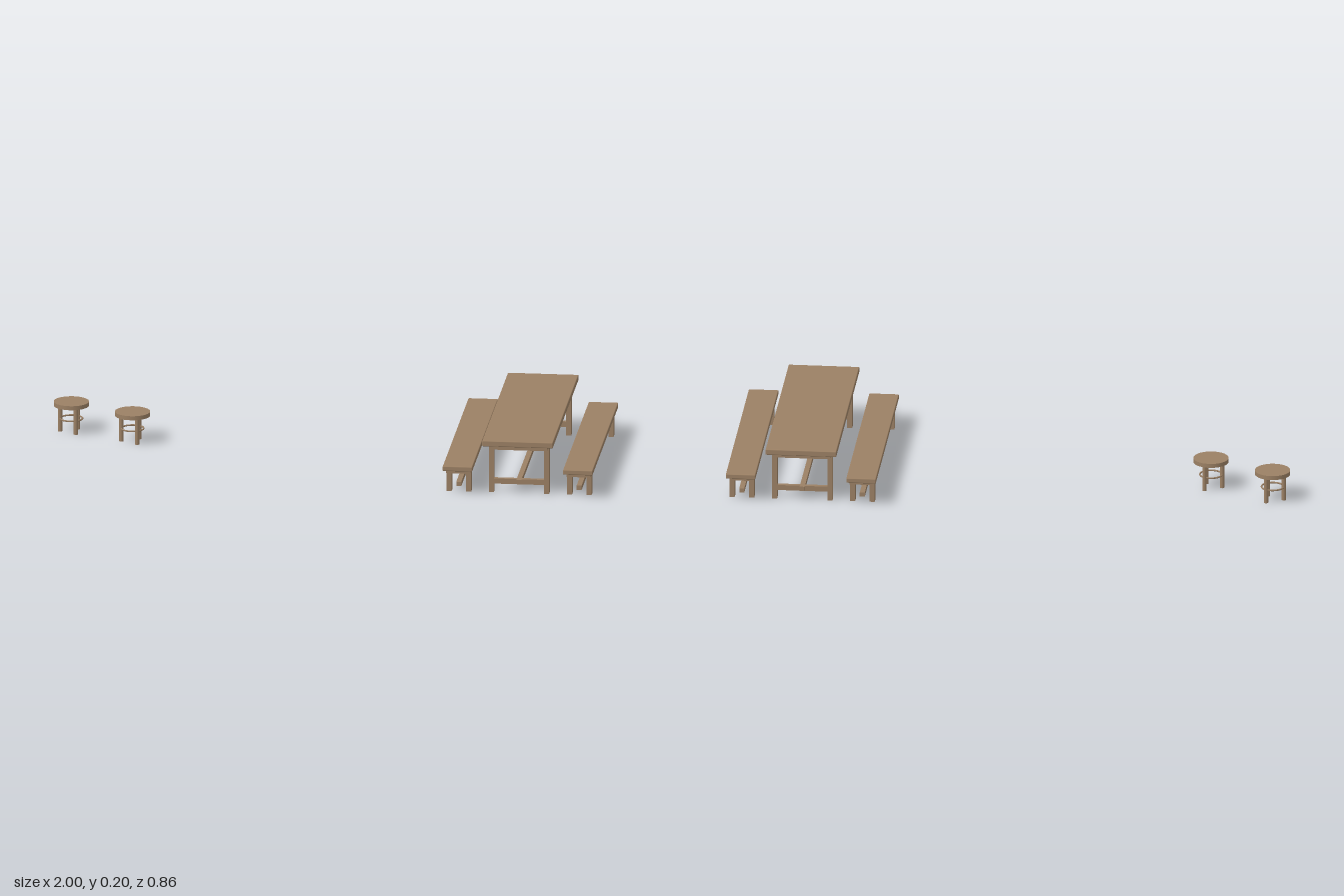
import * as THREE from 'three';
import { RoundedBoxGeometry } from 'three/addons/geometries/RoundedBoxGeometry.js';

const wood = new THREE.MeshStandardMaterial({ color: 0x9b8064 });
wood.name = 'wood';

function add(parent, name, geometry, x, y, z) {
  const mesh = new THREE.Mesh(geometry, wood);
  mesh.name = name;
  mesh.position.set(x, y, z);
  parent.add(mesh);
  return mesh;
}

// Box given by its width, bottom, top and depth
function beam(parent, name, w, y0, y1, d, x = 0, z = 0) {
  return add(parent, name, new THREE.BoxGeometry(w, y1 - y0, d), x, (y0 + y1) / 2, z);
}

// Shared frame of table and benches: slab, apron, four legs and a long stretcher
function trestle(name, o) {
  const g = new THREE.Group();
  g.name = name;
  const slabH = o.top - o.under;
  add(g, 'topBoard', new RoundedBoxGeometry(o.width, slabH, 0.857, 2, 0.003), 0, o.under + slabH / 2, 0);
  for (const s of [-1, 1]) {
    beam(g, 'sideApron', 0.01, o.apron, o.under, 0.8, s * (o.apronX - 0.005));
    beam(g, 'endApron', 2 * o.apronX - 0.02, o.apron, o.under, 0.012, 0, s * 0.394);
    for (const e of [-1, 1]) {
      beam(g, 'leg', o.legW, 0, o.under, 0.025, s * o.legX, e * 0.365);
    }
  }
  beam(g, 'longStretcher', 0.018, o.bar, o.bar + 0.016, 0.764);
  return g;
}

function createTable() {
  const g = trestle('table', {
    width: 0.253, top: 0.205, under: 0.184, apron: 0.165,
    apronX: 0.103, legX: 0.099, legW: 0.018, bar: 0.034,
  });
  // Low cross rails joining each pair of legs
  for (const s of [-1, 1]) beam(g, 'crossRail', 0.19, 0.031, 0.05, 0.016, 0, s * 0.365);
  return g;
}

function createBench() {
  return trestle('bench', {
    width: 0.106, top: 0.106, under: 0.088, apron: 0.072,
    apronX: 0.043, legX: 0.035, legW: 0.018, bar: 0.02,
  });
}

// Round three-legged stool with a thin foot ring
function createStool() {
  const g = new THREE.Group();
  g.name = 'stool';
  add(g, 'seat', new THREE.CylinderGeometry(0.063, 0.063, 0.015, 32), 0, 0.1045, 0);
  for (let i = 0; i < 3; i++) {
    const a = Math.PI + (i * Math.PI * 2) / 3;
    add(g, 'leg', new THREE.CylinderGeometry(0.0078, 0.0078, 0.098, 12), 0.04 * Math.cos(a), 0.049, 0.04 * Math.sin(a));
  }
  add(g, 'footRing', new THREE.TorusGeometry(0.04, 0.003, 6, 32), 0, 0.049, 0).rotation.x = Math.PI / 2;
  return g;
}

export function createModel() {
  const model = new THREE.Group();
  model.name = 'picnicFurniture';

  const table = createTable();
  table.position.x = 0.73;
  model.add(table);

  for (const x of [0.515, 0.946]) {
    const bench = createBench();
    bench.position.x = x;
    model.add(bench);
  }
  for (const [x, z] of [[-0.937, -0.216], [-0.707, -0.115]]) {
    const stool = createStool();
    stool.position.set(x, 0, z);
    model.add(stool);
  }
  return model;
}
